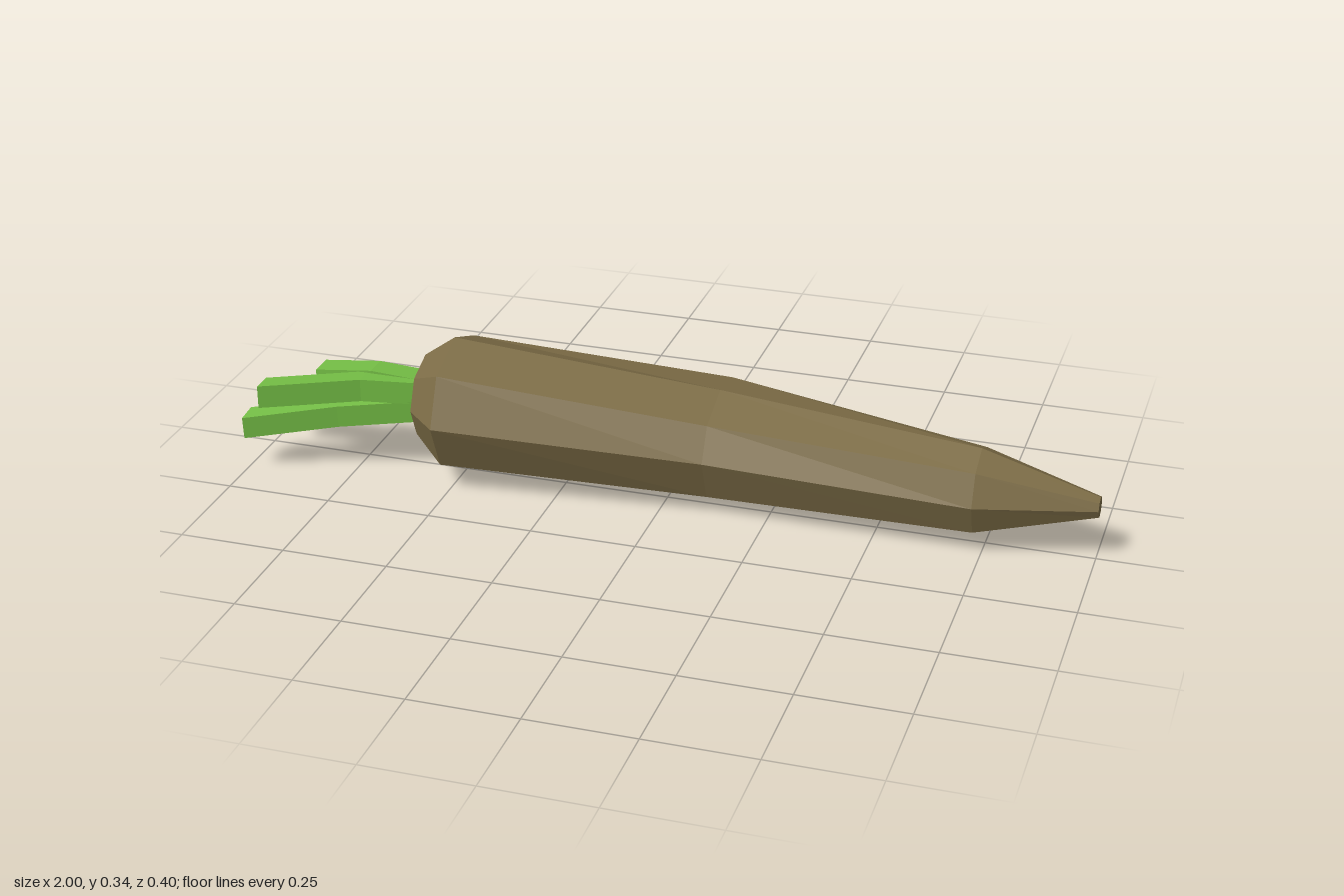
import * as THREE from 'three';

// Ring of [y, z] points around a centre; starts at the top unless turned
const ring = (cy, cz, ry, rz, sides = 8, turn = 0) =>
  Array.from({ length: sides }, (_, i) => {
    const a = turn + (i / sides) * Math.PI * 2;
    return [cy + ry * Math.cos(a), cz + rz * Math.sin(a)];
  });

// Closed faceted skin through rings placed along x, with flat end caps
function loft(stations) {
  const pos = [];
  const rings = stations.map(([x, pts]) => pts.map(([y, z]) => [x, y, z]));
  const tri = (a, b, c) => pos.push(...a, ...b, ...c);
  const n = rings[0].length;
  for (let s = 0; s < rings.length - 1; s++) {
    const p = rings[s], q = rings[s + 1];
    for (let i = 0; i < n; i++) {
      const j = (i + 1) % n;
      tri(p[i], p[j], q[j]);
      tri(p[i], q[j], q[i]);
    }
  }
  const first = rings[0], last = rings[rings.length - 1];
  for (let i = 1; i < n - 1; i++) {
    tri(first[0], first[i + 1], first[i]);
    tri(last[0], last[i], last[i + 1]);
  }
  const geo = new THREE.BufferGeometry();
  geo.setAttribute('position', new THREE.Float32BufferAttribute(pos, 3));
  geo.computeVertexNormals();
  return geo;
}

export function createModel() {
  const group = new THREE.Group();
  const brown = new THREE.MeshStandardMaterial({ name: 'rootBrown', color: 0x7c6c46 });
  const green = new THREE.MeshStandardMaterial({ name: 'stemGreen', color: 0x74bd45 });
  brown.flatShading = green.flatShading = true;

  // Bent, tapering root; the middle ring is slightly flattened on top
  const middle = [
    [0.268, -0.053], [0.226, 0.055], [0.148, 0.096], [0.045, 0.055],
    [0.0, -0.053], [0.045, -0.16], [0.148, -0.206], [0.252, -0.16],
  ];
  const root = new THREE.Mesh(loft([
    [-0.59, ring(0.19, 0.01, 0.1, 0.105)],
    [-0.515, ring(0.184, 0.009, 0.16, 0.171)],
    [0.11, middle],
    [0.73, ring(0.13, -0.004, 0.104, 0.098)],
    [1.0, ring(0.127, -0.006, 0.025, 0.025)],
  ]), brown);
  root.name = 'root';
  group.add(root);

  // Cut leaf stalks: [x, y, z] of the centre line, from the cut end to the root
  const stalks = [
    [[-0.965, 0.115, -0.023], [-0.78, 0.15, 0.004], [-0.57, 0.175, -0.005]],
    [[-0.85, 0.21, 0.03], [-0.71, 0.226, 0.03], [-0.57, 0.21, 0.015]],
    [[-1.0, 0.112, 0.135], [-0.78, 0.148, 0.08], [-0.57, 0.172, 0.035]],
    [[-0.937, 0.216, 0.172], [-0.72, 0.22, 0.075], [-0.57, 0.212, 0.035]],
  ];
  stalks.forEach((path, i) => {
    const low = path[0][1] < 0.15;
    const turn = Math.PI / 4 + (low ? 0.1 : 0);
    const stalk = new THREE.Mesh(loft(path.map(([x, y, z]) =>
      [x, ring(y, z, 0.039, i === 1 || i === 0 ? 0.041 : 0.036, 4, turn)])), green);
    stalk.name = 'stalk' + (i + 1);
    group.add(stalk);
  });
  return group;
}
